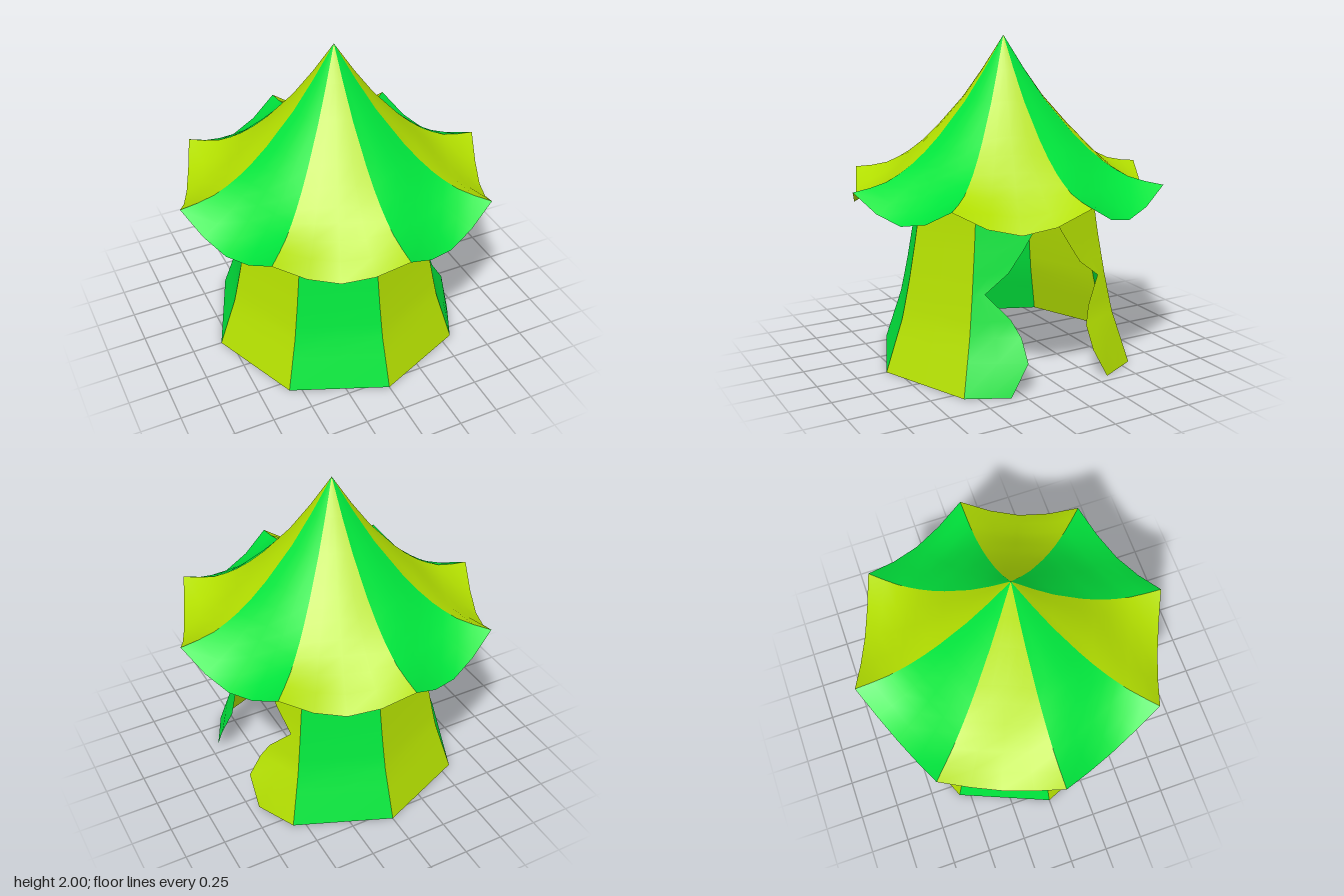
import * as THREE from 'three';

const SIDES = 8, STEP = Math.PI * 2 / SIDES;
const green = new THREE.MeshStandardMaterial({ color: 0x00e53c, side: THREE.DoubleSide });
const yellow = new THREE.MeshStandardMaterial({ color: 0xb4e000, side: THREE.DoubleSide });

// Roof seam profile, [radius, y, sag of the cloth midway between seams] from peak to rim
const roofRows = [[0, 2, 0], [0.13, 1.80, -0.006], [0.26, 1.62, -0.015], [0.434, 1.425, -0.028],
  [0.53, 1.335, -0.028], [0.62, 1.265, -0.015], [0.69, 1.222, 0.007], [0.775, 1.18, 0.035],
  [0.88, 1.155, 0.083], [0.987, 1.14, 0.14]];

// Wall seam profile, [radius, y, half width of the door, outward shift of the flap edge] from top to ground
const wallRows = [[0.55, 1.23, 0, -0.02], [0.562, 1.1, 0.025, -0.03], [0.573, 1, 0.04, -0.03],
  [0.587, 0.9, 0.095, -0.027], [0.603, 0.8, 0.16, -0.02], [0.625, 0.68, 0.245, -0.02],
  [0.645, 0.57, 0.388, 0], [0.677, 0.42, 0.265, 0.005], [0.70, 0.32, 0.222, 0.01],
  [0.745, 0.19, 0.222, 0.045], [0.81, 0, 0.33, 0.02]];

// One cloth panel between two neighbouring seams; span(row) trims it,
// offset(t, row) gives [dx, dy] at fraction t across the trimmed width
function panel(name, i, rows, cols, material, span, offset) {
  const geo = new THREE.PlaneGeometry(1, 1, cols, rows.length - 1);
  const p = geo.attributes.position;
  const a = i * STEP, b = a + STEP;
  for (let k = 0; k < p.count; k++) {
    const row = rows[Math.floor(k / (cols + 1))];
    const t = (k % (cols + 1)) / cols;
    const u = THREE.MathUtils.lerp(...span(row), t);
    const [dx, dy] = offset(t, row);
    p.setXYZ(k,
      row[0] * ((1 - u) * Math.sin(a) + u * Math.sin(b)) + dx,
      row[1] + dy,
      row[0] * ((1 - u) * Math.cos(a) + u * Math.cos(b)));
  }
  geo.computeVertexNormals();
  const mesh = new THREE.Mesh(geo, material);
  mesh.name = name;
  return mesh;
}

export function createModel() {
  const tent = new THREE.Group();
  tent.name = 'tent';
  const roof = new THREE.Group();
  roof.name = 'roof';
  const walls = new THREE.Group();
  walls.name = 'walls';
  tent.add(roof, walls);

  const full = () => [0, 1];
  const straight = () => [0, 0];
  // Roof cloth bellies out above and hangs down at the scalloped rim
  const sag = (t, row) => [0, -row[2] * Math.sin(Math.PI * t)];
  // The two panels beside the +x seam are drawn back as door flaps
  const cut = row => row[2] / (row[0] * Math.sin(STEP));
  const flaps = {
    1: { span: row => [0, 1 - cut(row)], offset: (t, row) => [row[3] * t, 0] },
    2: { span: row => [cut(row), 1], offset: (t, row) => [row[3] * (1 - t), 0] },
  };

  for (let i = 0; i < SIDES; i++) {
    const [roofColour, wallColour] = i % 2 ? [yellow, green] : [green, yellow];
    roof.add(panel('roofPanel', i, roofRows, 4, roofColour, full, sag));
    const flap = flaps[i];
    walls.add(flap
      ? panel('doorFlap', i, wallRows, 2, wallColour, flap.span, flap.offset)
      : panel('wallPanel', i, wallRows, 2, wallColour, full, straight));
  }
  return tent;
}
